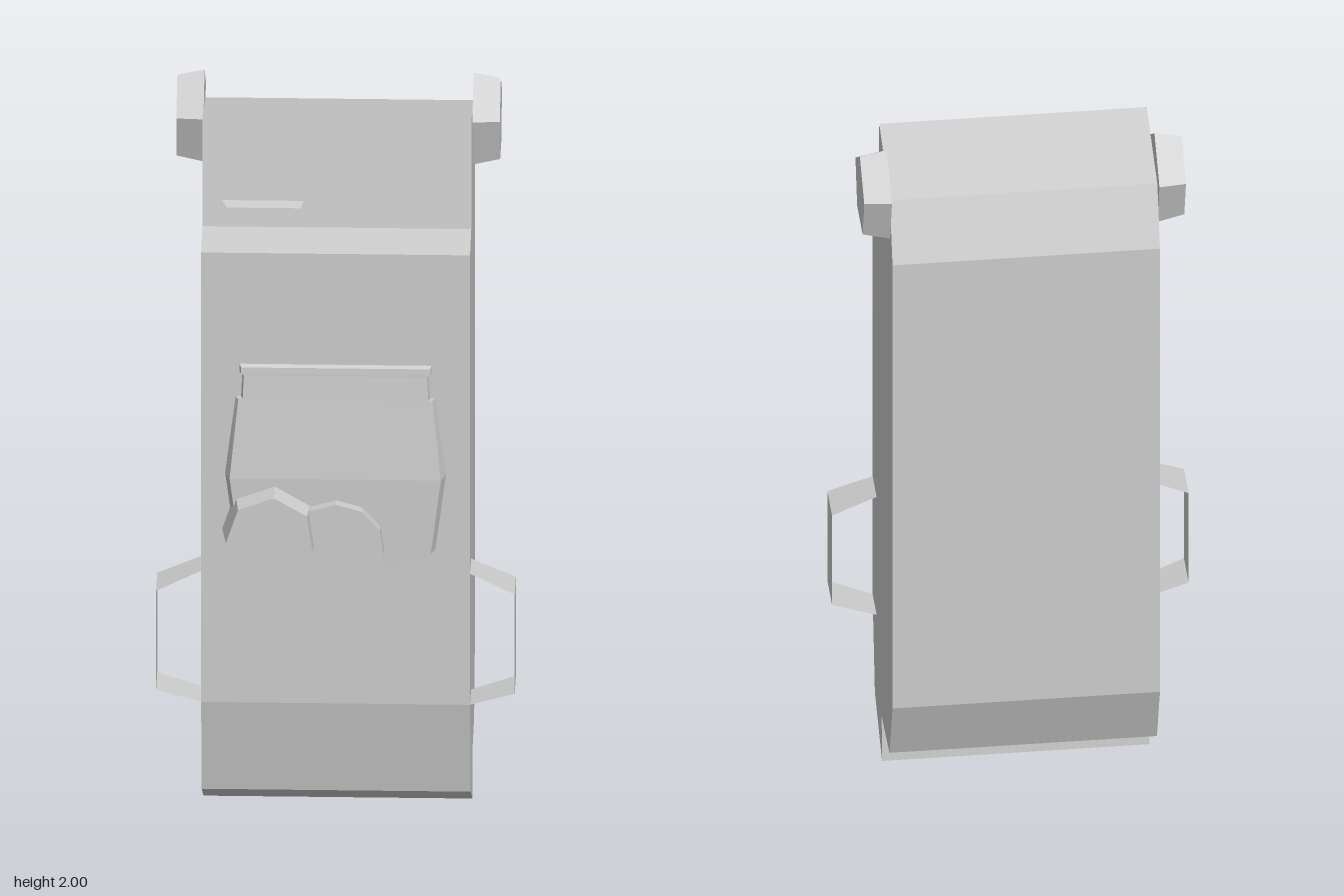
import * as THREE from 'three';

const flat = (side = THREE.FrontSide) =>
  new THREE.MeshStandardMaterial({ color: 0xcccccc, flatShading: true, side });

function part(name, geometry, material = flat()) {
  const mesh = new THREE.Mesh(geometry, material);
  mesh.name = name;
  return mesh;
}

// Joins successive rows of points (top to bottom, each running left to right) with quads.
function loft(rows) {
  const pos = [];
  for (let i = 0; i < rows.length - 1; i++) {
    for (let j = 0; j < rows[i].length - 1; j++) {
      const a = rows[i][j], b = rows[i + 1][j], c = rows[i + 1][j + 1], d = rows[i][j + 1];
      pos.push(...a, ...b, ...c, ...a, ...c, ...d);
    }
  }
  const g = new THREE.BufferGeometry();
  g.setAttribute('position', new THREE.Float32BufferAttribute(pos, 3));
  g.computeVertexNormals();
  return g;
}

// Many-sided disc facing +z, with its first corner at the given angle.
function disc(rFront, rBack, x, y, zBack, zFront, sides, angle) {
  const g = new THREE.CylinderGeometry(rFront, rBack, zFront - zBack, sides, 1, false, angle + Math.PI / 2);
  return g.rotateX(Math.PI / 2).translate(x, y, (zBack + zFront) / 2);
}

export function createModel() {
  const model = new THREE.Group();
  model.name = 'pack';

  // Body: side profile (z, y) extruded across the width
  const half = 0.345;
  const profile = [
    [0.03, 1.955], [-0.22, 1.89], [-0.283, 1.73], [-0.283, 0.34], [-0.21, 0.15], [-0.025, 0.135],
    [-0.035, 0.002], [0.135, 0.1], [0.188, 0.37], [0.188, 1.64], [0.07, 1.66],
  ];
  const shape = new THREE.Shape(profile.map(([z, y]) => new THREE.Vector2(z, y)));
  const body = new THREE.ExtrudeGeometry(shape, { depth: 2 * half, bevelEnabled: false });
  model.add(part('body', body.rotateY(-Math.PI / 2).translate(half, 0, 0)));

  // Five-sided lugs at the top corners and strip handles near the bottom
  for (const s of [1, -1]) {
    const side = s > 0 ? 'left' : 'right';
    const lug = new THREE.CylinderGeometry(0.11, 0.125, 0.07, 5, 1, false, -s * Math.PI / 2);
    lug.rotateZ(-s * Math.PI / 2).translate(s * (half + 0.035), 1.875, -0.152);
    model.add(part(side + 'Lug', lug));

    const path = [[half, 0.74, 0.187], [0.46, 0.69, 0.204], [0.46, 0.41, 0.204], [half, 0.37, 0.187]];
    const rows = path.map(([x, y, z]) => [[s * x, y, 0.094], [s * x, y, z]]);
    model.add(part(side + 'Handle', loft(rows), flat(THREE.DoubleSide)));
  }

  // Small ledge on the upper panel
  const ledge = loft([
    [[-0.295, 1.73, 0.06], [-0.085, 1.73, 0.06]],
    [[-0.282, 1.723, 0.091], [-0.092, 1.723, 0.091]],
  ]);
  model.add(part('ledge', ledge, flat(THREE.DoubleSide)));

  // Pouch rows: y, half width at the base, front z, front inset
  const pouchRows = [
    [1.327, 0.247, 0.188, 0], [1.322, 0.247, 0.2, 0.005], [1.305, 0.247, 0.201, 0.005],
    [1.3, 0.24, 0.201, 0.005], [1.235, 0.243, 0.206, 0.005], [1.235, 0.257, 0.206, 0.008],
    [1.02, 0.284, 0.225, 0.013], [0.81, 0.257, 0.222, 0.012], [0.72, 0.02, 0.22, 0.004],
    [0.708, 0.02, 0.186, 0],
  ].map(([y, w, z, inset]) => [
    [-w, y, 0.186], [inset - w, y, z], [w - inset, y, z], [w, y, 0.186],
  ]);
  model.add(part('pouch', loft(pouchRows), flat(THREE.DoubleSide)));

  // Overlapping discs on the pouch
  model.add(part('tallDisc', disc(0.114, 0.126, -0.166, 0.877, 0.188, 0.281, 7, 1.48)));
  model.add(part('lowDisc', disc(0.125, 0.125, 0.002, 0.836, 0.19, 0.252, 11, Math.PI / 2)));

  return model;
}
